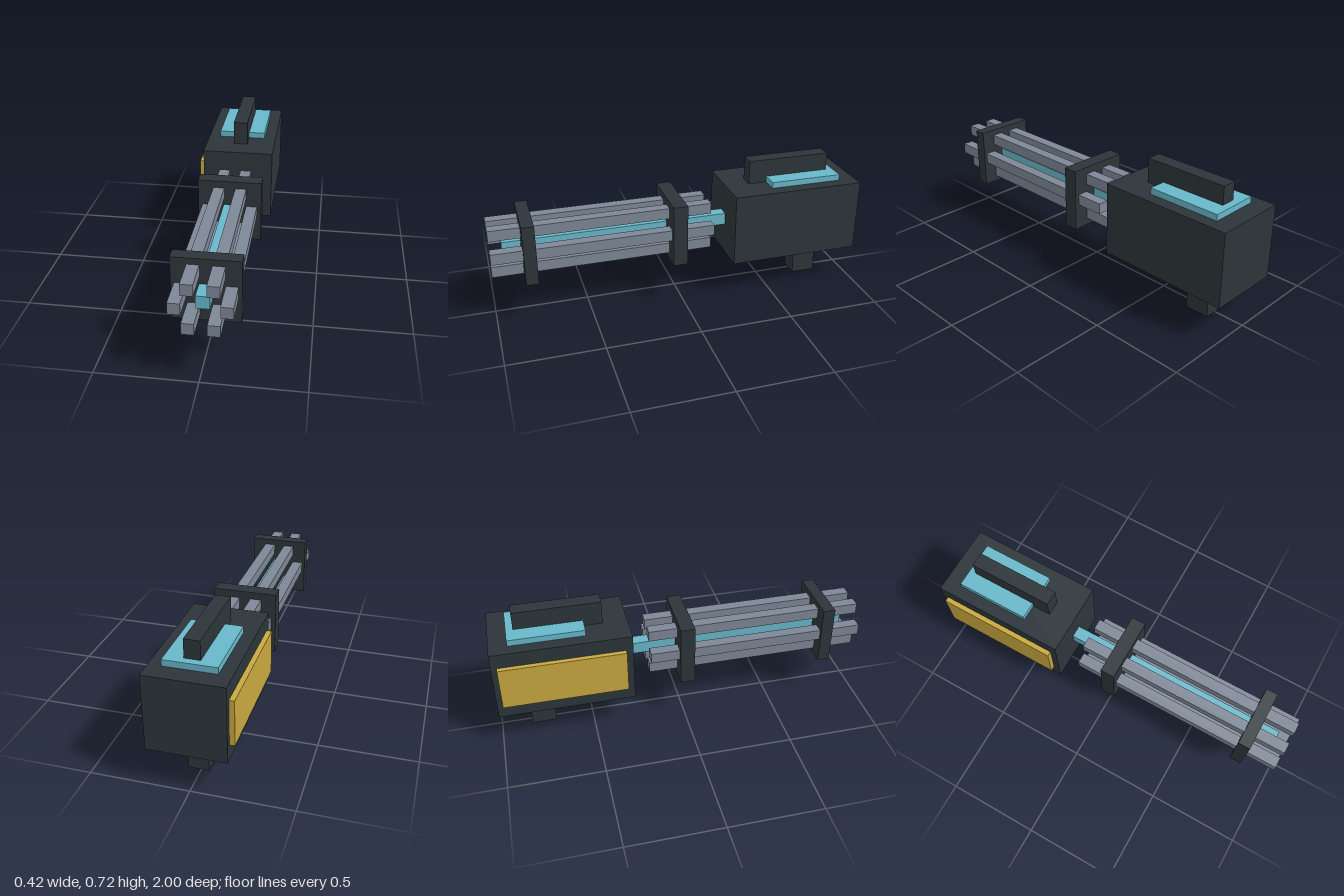
import * as THREE from 'three';

function material(name, color) {
  const m = new THREE.MeshStandardMaterial({ color });
  m.name = name;
  return m;
}

export function createModel() {
  const group = new THREE.Group();
  const dark = material('dark metal', 0x2d353a);
  const steel = material('steel grey', 0x7e8796);
  const cyan = material('glowing cyan', 0x68b8ca);
  const gold = material('gold', 0xc9a840);

  // Box given by its lower and upper limits on each axis
  function box(name, mat, [x0, x1], [y0, y1], [z0, z1]) {
    const mesh = new THREE.Mesh(new THREE.BoxGeometry(x1 - x0, y1 - y0, z1 - z0), mat);
    mesh.position.set((x0 + x1) / 2, (y0 + y1) / 2, (z0 + z1) / 2);
    mesh.name = name;
    group.add(mesh);
  }

  // Centre line of the barrel cluster
  const cx = 0.0125, cy = 0.396;
  const around = (c, half) => [c - half, c + half];

  // Housing with grip, top handle and side panels
  box('housing', dark, around(cx, 0.1965), [0.198, 0.592], [-1, -0.28]);
  box('grip', dark, around(cx, 0.0525), [0, 0.198], [-0.835, -0.705]);
  box('topPanel', cyan, around(cx, 0.1315), [0.592, 0.625], [-0.905, -0.51]);
  box('topHandle', dark, around(cx, 0.0395), [0.592, 0.722], [-0.867, -0.41]);
  box('sidePanel', gold, [-0.21, -0.184], [0.277, 0.512], [-0.97, -0.317]);

  // Central core
  box('core', cyan, around(cx, 0.0328), around(cy, 0.0328), [-0.28, 0.935]);

  // Six barrels in a ring
  for (let i = 0; i < 6; i++) {
    const a = (i * Math.PI) / 3;
    box('barrel' + (i + 1), steel, around(cx + 0.118 * Math.cos(a), 0.0295),
      around(cy + 0.118 * Math.sin(a), 0.0295), [-0.178, 1]);
  }

  // Clamp plates holding the barrels
  box('rearClamp', dark, around(cx, 0.1705), around(cy, 0.1705), [-0.023, 0.055]);
  box('frontClamp', dark, around(cx, 0.164), around(cy, 0.164), [0.772, 0.837]);

  return group;
}
